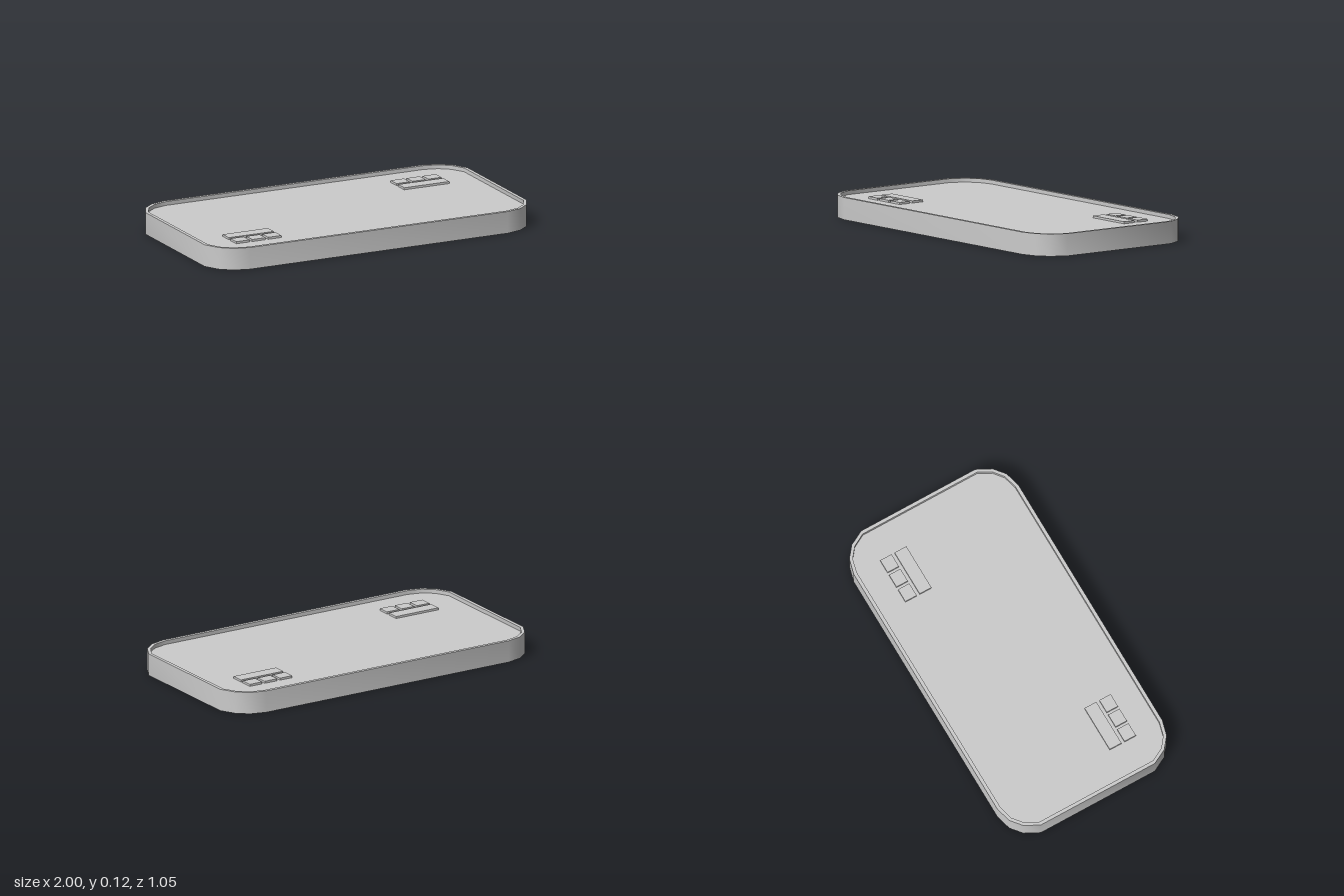
import * as THREE from 'three';
import { toCreasedNormals } from 'three/addons/utils/BufferGeometryUtils.js';

const HEIGHT = 0.125, LIP = 0.02, RECESS = 0.022;
const material = new THREE.MeshStandardMaterial({ color: 0xcccccc });

// Rounded outline, one corner mirrored into four, shrunk inwards by inset
function outline(inset) {
  const corner = [[1, 0.365], [0.955, 0.45], [0.89, 0.503], [0.8, 0.527]];
  const cx = 0.8, cy = 0.365;
  const c = corner.map(([x, y]) => [
    cx + (x - cx) * (0.2 - inset) / 0.2,
    cy + (y - cy) * (0.162 - inset) / 0.162,
  ]);
  const r = [...c].reverse();
  return [
    ...c,
    ...r.map(([x, y]) => [-x, y]),
    ...c.map(([x, y]) => [-x, -y]),
    ...r.map(([x, y]) => [x, -y]),
  ].map(([x, y]) => new THREE.Vector2(x, y));
}

// Stand an extruded outline up along y
function slab(name, shape, y, height) {
  const extruded = new THREE.ExtrudeGeometry(shape, { depth: height, bevelEnabled: false });
  extruded.rotateX(-Math.PI / 2);
  const mesh = new THREE.Mesh(toCreasedNormals(extruded, 0.6), material);
  mesh.name = name;
  mesh.position.y = y;
  return mesh;
}

// One long key and a row of three short ones, showing above and below the panel
function keyCluster(name) {
  const group = new THREE.Group();
  group.name = name;
  const bottom = RECESS - 0.008, top = HEIGHT - RECESS + 0.012;
  const addKey = (keyName, x, z, w, d) => {
    const key = new THREE.Mesh(new THREE.BoxGeometry(w, top - bottom, d), material);
    key.name = keyName;
    key.position.set(x, (top + bottom) / 2, z);
    group.add(key);
  };
  addKey('longKey', 0.66, -0.228, 0.28, 0.075);
  for (let i = 0; i < 3; i++) addKey('shortKey' + (i + 1), 0.561 + i * 0.099, -0.321, 0.082, 0.072);
  return group;
}

export function createModel() {
  const model = new THREE.Group();
  model.name = 'tray';

  // Raised rim around the whole edge
  const rimShape = new THREE.Shape(outline(0));
  rimShape.holes.push(new THREE.Path(outline(LIP)));
  model.add(slab('rim', rimShape, 0, HEIGHT));

  // Panel set back from both faces of the rim
  model.add(slab('panel', new THREE.Shape(outline(LIP)), RECESS, HEIGHT - 2 * RECESS));

  // Two key clusters, half a turn apart
  const back = keyCluster('backKeys');
  const front = keyCluster('frontKeys');
  front.rotation.y = Math.PI;
  model.add(back, front);
  return model;
}
